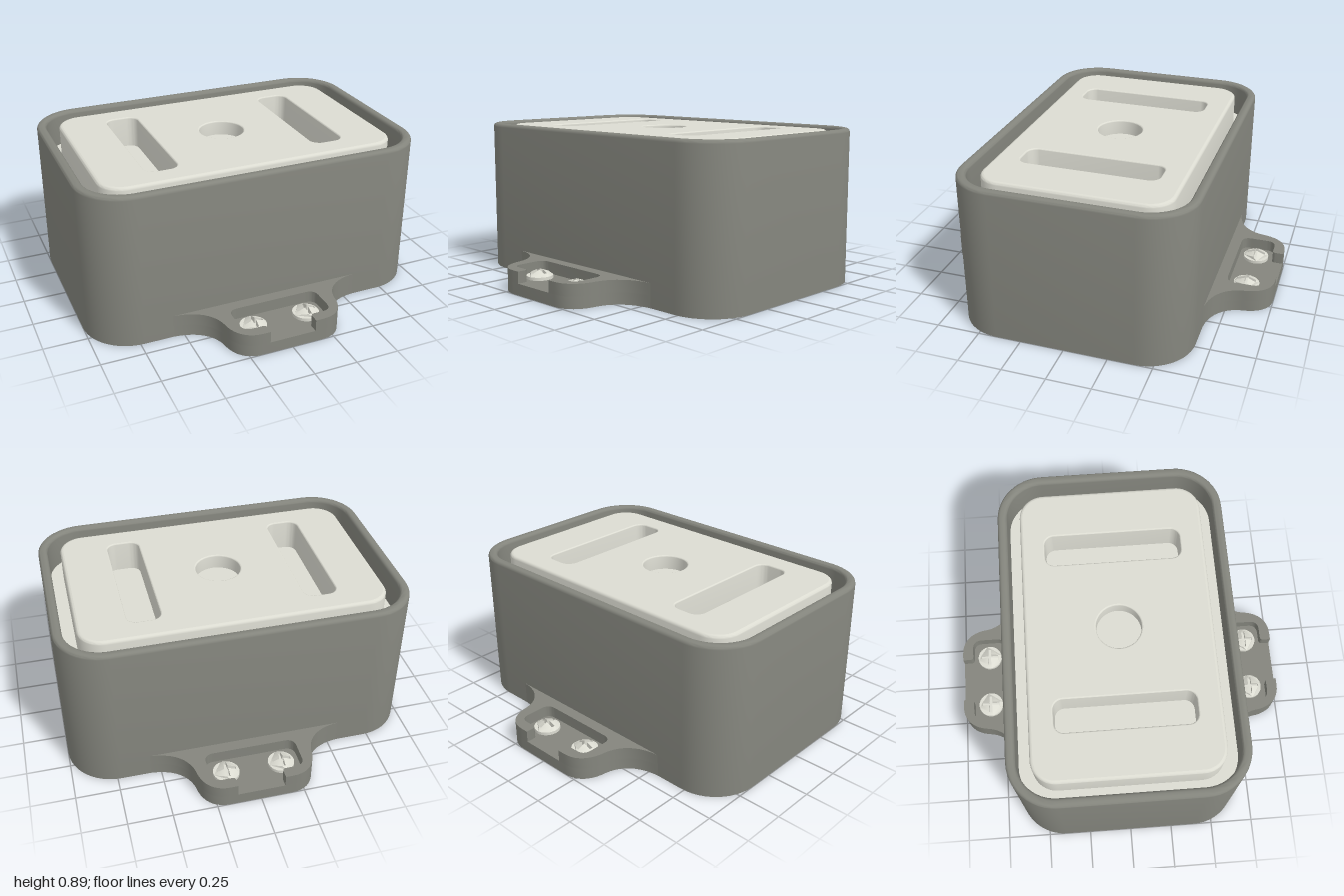
import * as THREE from 'three';
import { toCreasedNormals, mergeGeometries } from 'three/addons/utils/BufferGeometryUtils.js';

const shellMat = new THREE.MeshStandardMaterial({ color: 0x84857d });
const lightMat = new THREE.MeshStandardMaterial({ color: 0xdcdcd2 });

// Rounded rectangle (half sizes, corner radius), counterclockwise
function ring([hx, hz, r], inset = 0) {
  const pts = [], n = 12, rad = Math.max(r - inset, 0.004);
  const cx = hx - inset - rad, cz = hz - inset - rad;
  [[1, 1], [-1, 1], [-1, -1], [1, -1]].forEach(([sx, sz], q) => {
    for (let i = 0; i <= n; i++) {
      const a = (q + i / n) * Math.PI / 2;
      pts.push(new THREE.Vector2(sx * cx + rad * Math.cos(a), sz * cz + rad * Math.sin(a)));
    }
  });
  return pts;
}

// Wall swept round a rounded rectangle; profile = [inset, y] pairs
function loft(rect, profile) {
  const pos = [], idx = [], n = ring(rect).length;
  profile.forEach(([inset, y]) => ring(rect, inset).forEach(p => pos.push(p.x, y, -p.y)));
  for (let j = 0; j < profile.length - 1; j++) {
    for (let i = 0; i < n; i++) {
      const a = j * n + i, b = j * n + (i + 1) % n;
      idx.push(a, b, a + n, b, b + n, a + n);
    }
  }
  const g = new THREE.BufferGeometry();
  g.setAttribute('position', new THREE.Float32BufferAttribute(pos, 3));
  g.setIndex(idx);
  return toCreasedNormals(g, 0.6);
}

// Quarter-round from a vertical wall to a flat top (or back down when falling)
function fillet(inset, y, r, falling = false) {
  return [0, 1, 2, 3, 4].map(i => {
    const a = i / 4 * Math.PI / 2;
    return falling
      ? [inset - r + r * Math.sin(a), y - r + r * Math.cos(a)]
      : [inset + r - r * Math.cos(a), y - r + r * Math.sin(a)];
  });
}

// Flat horizontal face, optionally with holes
function face(points, y, holes = [], down = false) {
  const s = new THREE.Shape(points);
  s.holes = holes.map(h => new THREE.Path(h));
  return new THREE.ShapeGeometry(s).rotateX(down ? Math.PI / 2 : -Math.PI / 2).translate(0, y, 0);
}

function add(parent, name, geometry, material) {
  const m = new THREE.Mesh(geometry, material);
  m.name = name;
  parent.add(m);
  return m;
}

// Outline of a mounting tab; recessed adds the open screw recess
function tabShape(recessed) {
  const s = new THREE.Shape();
  s.moveTo(0.56, 0.63);
  s.lineTo(0.56, 0.665);
  s.bezierCurveTo(0.42, 0.675, 0.35, 0.75, 0.335, 0.84);
  s.bezierCurveTo(0.325, 0.94, 0.27, 1, 0.18, 1);
  if (recessed) {
    s.lineTo(0.135, 1);
    s.lineTo(0.135, 0.955);
    s.quadraticCurveTo(0.135, 0.935, 0.155, 0.935);
    s.lineTo(0.21, 0.935);
    s.quadraticCurveTo(0.265, 0.935, 0.265, 0.88);
    s.lineTo(0.265, 0.785);
    s.quadraticCurveTo(0.265, 0.73, 0.21, 0.73);
  }
  const half = s.getPoints(10);
  const mirrored = half.slice().reverse().map(p => new THREE.Vector2(-p.x, p.y));
  return new THREE.Shape([...half, ...mirrored]);
}

function extrudeUp(shape, y, depth) {
  const g = new THREE.ExtrudeGeometry(shape, { depth, bevelEnabled: false });
  return toCreasedNormals(g.rotateX(-Math.PI / 2).translate(0, y, 0), 0.5);
}

// Domed screw head with a cross recess
function makeScrew() {
  const R = 0.075, L = 0.054, w = 0.01;
  const shape = new THREE.Shape().absarc(0, 0, R, 0, Math.PI * 2, false);
  const cross = [];
  for (let q = 0; q < 4; q++) {
    for (const [x, y] of [[L, -w], [L, w], [w, w]]) {
      cross.push(new THREE.Vector2(x, y).rotateAround(new THREE.Vector2(), q * Math.PI / 2));
    }
  }
  shape.holes.push(new THREE.Path(cross));
  const g = new THREE.ExtrudeGeometry(shape, { depth: 0.018, bevelEnabled: false, curveSegments: 16 });
  const p = g.attributes.position;
  for (let i = 0; i < p.count; i++) {
    const r2 = (p.getX(i) ** 2 + p.getY(i) ** 2) / (R * R);
    if (p.getZ(i) > 0.01) p.setZ(i, 0.018 + 0.034 * (1 - r2));
  }
  g.rotateX(-Math.PI / 2);
  const screw = new THREE.Group();
  screw.name = 'screw';
  add(screw, 'screwHead', toCreasedNormals(g, 0.6), lightMat);
  add(screw, 'screwSlotFloor', new THREE.CylinderGeometry(0.06, 0.06, 0.014, 24).translate(0, 0.007, 0), lightMat);
  return screw;
}

export function createModel() {
  const model = new THREE.Group();
  model.name = 'mountedHousing';

  // Housing shell with rounded rim
  const outer = [1, 0.665, 0.27];
  add(model, 'housing', loft(outer, [
    [0, 0], ...fillet(0, 0.895, 0.02), ...fillet(0.055, 0.895, 0.02, true), [0.055, 0.65],
  ]), shellMat);
  add(model, 'housingBottom', face(ring(outer), 0, [], true), shellMat);

  // Insert: low flange and raised block with pockets
  const block = [0.87, 0.535, 0.14], top = 0.885, ease = 0.018;
  const insert = new THREE.Group();
  insert.name = 'insert';
  model.add(insert);
  add(insert, 'insertFlange', face(ring([0.95, 0.615, 0.22]), 0.7), lightMat);
  add(insert, 'insertBlock', loft(block, [[0, 0.7], ...fillet(0, top, ease)]), lightMat);

  const pockets = [
    { name: 'leftSlot', x: 0.5, rect: [0.103, 0.405, 0.065], depth: 0.25 },
    { name: 'rightSlot', x: -0.5, rect: [0.103, 0.405, 0.065], depth: 0.25 },
    { name: 'centreHole', x: 0, rect: [0.138, 0.138, 0.138], depth: 0.085 },
  ];
  const holes = pockets.map(({ x, rect }) => ring(rect).map(p => new THREE.Vector2(p.x + x, p.y)));
  add(insert, 'insertTop', face(ring(block, ease), top, holes), lightMat);
  for (const { name, x, rect, depth } of pockets) {
    const wall = loft(rect, [...fillet(0.008, top, 0.008, true), [0.008, top - depth]]);
    const floor = face(ring(rect, 0.008), top - depth).toNonIndexed();
    wall.deleteAttribute('uv');
    floor.deleteAttribute('uv');
    add(insert, name, mergeGeometries([wall, floor]), lightMat).position.x = x;
  }

  // Mounting tabs, front and back, each with two screws
  const floorY = 0.067, tabTop = 0.135;
  for (const [name, turn] of [['backTab', 0], ['frontTab', Math.PI]]) {
    const tab = new THREE.Group();
    tab.name = name;
    tab.rotation.y = turn;
    add(tab, 'tabBase', extrudeUp(tabShape(false), 0, floorY), shellMat);
    add(tab, 'tabRim', extrudeUp(tabShape(true), floorY, tabTop - floorY), shellMat);
    for (const side of [-1, 1]) {
      const screw = makeScrew();
      screw.position.set(side * 0.16, floorY, -0.833);
      tab.add(screw);
    }
    model.add(tab);
  }
  return model;
}
